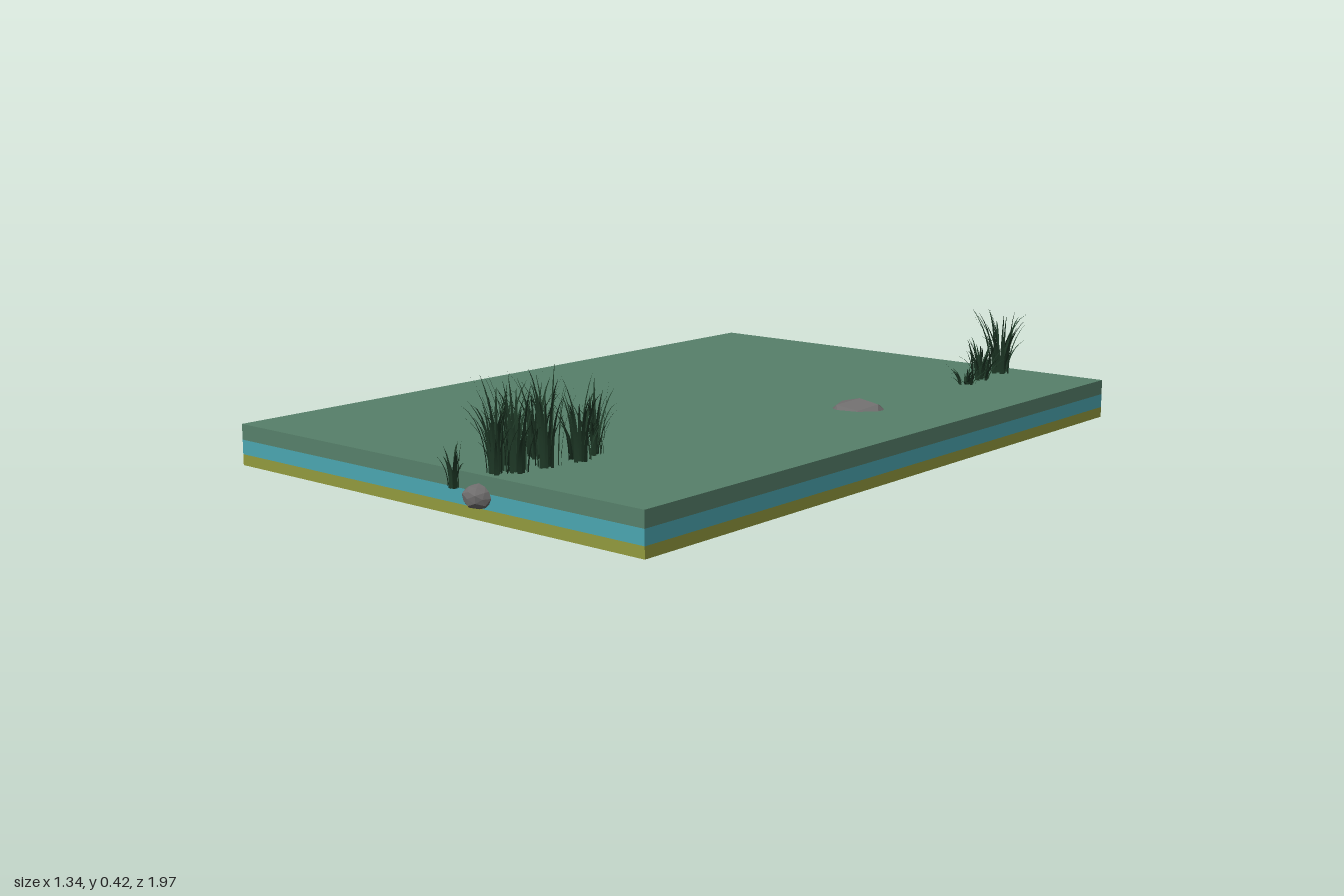
import * as THREE from 'three';

// Small seeded generator
let seed = 7;
const rand = () => {
  seed = (seed * 16807) % 2147483647;
  return seed / 2147483647;
};
const range = (a, b) => a + (b - a) * rand();

const rockMaterial = new THREE.MeshStandardMaterial({ color: 0x6e6c6c, flatShading: true });
const grassMaterial = new THREE.MeshStandardMaterial({ color: 0x1e3826, side: THREE.DoubleSide });

// One flat layer of the ground slab
function layer(name, y0, y1, color) {
  const mesh = new THREE.Mesh(
    new THREE.BoxGeometry(1.34, y1 - y0, 1.93),
    new THREE.MeshStandardMaterial({ color })
  );
  mesh.position.set(0, (y0 + y1) / 2, -0.02);
  mesh.name = name;
  return mesh;
}

// Faceted boulder: icosphere with its corners pushed in or out by a position rule
function rock(name, x, z, rx, bottom, ry) {
  const geo = new THREE.IcosahedronGeometry(1, 1);
  const p = geo.attributes.position;
  const v = new THREE.Vector3();
  for (let i = 0; i < p.count; i++) {
    v.fromBufferAttribute(p, i);
    const k = 1 + 0.06 * Math.sin(v.x * 5.1 + x * 40) * Math.cos(v.y * 4.3 + v.z * 6.7 + z * 30);
    v.multiplyScalar(k);
    p.setXYZ(i, v.x * rx, v.y * ry, v.z * rx);
  }
  geo.computeVertexNormals();
  geo.computeBoundingBox();
  const mesh = new THREE.Mesh(geo, rockMaterial);
  mesh.position.set(x, bottom - geo.boundingBox.min.y, z);
  mesh.name = name;
  return mesh;
}

// Tuft of arched, tapering blades, built as strips of cross-sections
function tuft(x, z, base, top, spread, count) {
  const pos = [], index = [], steps = 7;
  for (let b = 0; b < count; b++) {
    const angle = (b / count) * Math.PI * 2 * 5 + range(-0.5, 0.5);
    const dx = Math.cos(angle), dz = Math.sin(angle);
    const h = (top - base) * range(0.5, 1);
    const lean = spread * range(0.35, 1);
    const root = spread * range(0, 0.4);
    const droop = range(0, 0.22);
    const width = range(0.003, 0.0055);
    const start = pos.length / 3;
    for (let s = 0; s <= steps; s++) {
      const t = s / steps;
      const r = root + (lean - root * 0.4) * t ** 2.4;
      const y = base + h * (t - droop * t ** 4);
      const w = width * (1 - t ** 2) + 0.0003;
      const cx = x + dx * r, cz = z + dz * r;
      pos.push(cx - dz * w, y, cz + dx * w, cx + dz * w, y, cz - dx * w);
      if (s < steps) {
        const a = start + s * 2;
        index.push(a, a + 1, a + 2, a + 1, a + 3, a + 2);
      }
    }
  }
  const geo = new THREE.BufferGeometry();
  geo.setAttribute('position', new THREE.Float32BufferAttribute(pos, 3));
  geo.setIndex(index);
  geo.computeVertexNormals();
  const mesh = new THREE.Mesh(geo, grassMaterial);
  mesh.name = 'grassTuft';
  return mesh;
}

function clump(name, tufts) {
  const group = new THREE.Group();
  group.name = name;
  tufts.forEach((t) => group.add(tuft(...t)));
  return group;
}

export function createModel() {
  seed = 7;
  const model = new THREE.Group();
  model.name = 'pondTile';

  // Ground layers, bottom to top
  model.add(
    layer('sandLayer', 0.08, 0.108, 0x929a3e),
    layer('waterLayer', 0.108, 0.145, 0x4ba6b0),
    layer('grassLayer', 0.145, 0.185, 0x56806a)
  );

  // Rocks: x, z, radius, bottom, half height
  const rocks = new THREE.Group();
  rocks.name = 'rocks';
  rocks.add(rock('largeRock', 0.38, -0.22, 0.105, 0, 0.106));
  rocks.add(rock('edgeRock', 0.182, 0.945, 0.038, 0.106, 0.029));
  [
    [-0.01, -0.555, 0.072, 0.04],
    [0.05, -0.13, 0.07, 0.04],
    [-0.265, -0.335, 0.045, 0.063],
    [0.255, 0.125, 0.056, 0.054],
    [0.03, 0.435, 0.04, 0.061]
  ].forEach(([x, z, r, b]) => rocks.add(rock('mediumRock', x, z, r, b, r * 0.75)));
  [[0.01, 0.71], [0.08, 0.22], [0.34, -0.67], [0.34, -0.82], [0.3, -0.93]].forEach(([x, z]) =>
    rocks.add(rock('pebble', x, z, 0.02, 0.073, 0.016))
  );
  model.add(rocks);

  // Grass: x, z, base, top, spread, blades
  model.add(clump('frontGrass', [
    [0.235, 0.63, 0.16, 0.37, 0.06, 26],
    [0.255, 0.7, 0.16, 0.4, 0.068, 28],
    [0.16, 0.75, 0.16, 0.4, 0.07, 28],
    [0.24, 0.79, 0.16, 0.46, 0.08, 30],
    [0.155, 0.84, 0.16, 0.4, 0.068, 28],
    [0.225, 0.87, 0.16, 0.44, 0.07, 30],
    [0.2, 0.91, 0.16, 0.41, 0.068, 28],
    [0.11, 0.955, 0.145, 0.26, 0.03, 16]
  ]));
  model.add(clump('backGrass', [
    [0.385, -0.91, 0.16, 0.4, 0.085, 34],
    [0.4, -0.78, 0.16, 0.33, 0.068, 28],
    [0.41, -0.69, 0.16, 0.25, 0.06, 24]
  ]));
  return model;
}
